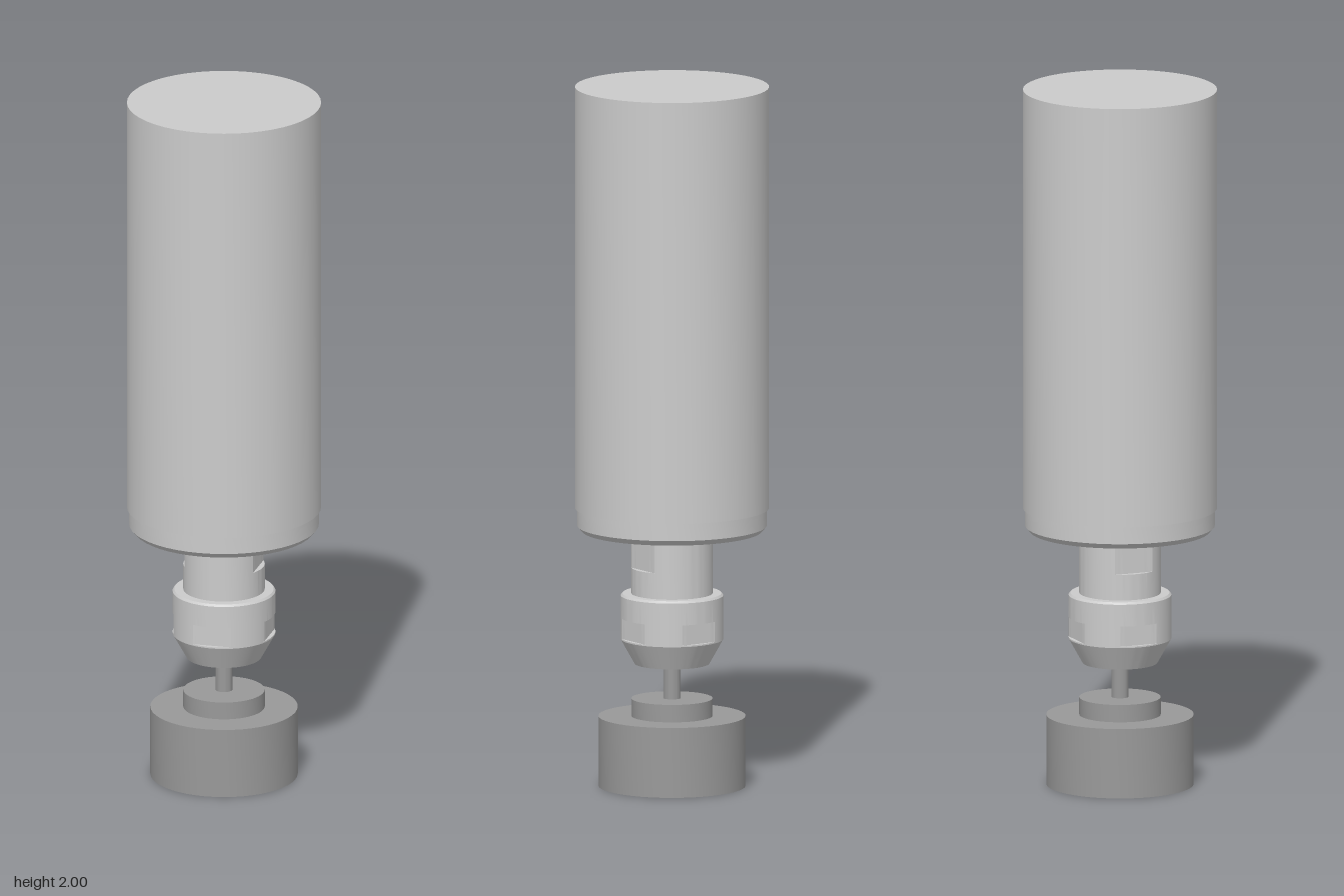
import * as THREE from 'three';
import { toCreasedNormals } from 'three/addons/utils/BufferGeometryUtils.js';

const metal = new THREE.MeshStandardMaterial({ color: 0xcccccc });
const toolGrey = new THREE.MeshStandardMaterial({ color: 0x999999 });

// Revolves [radius, y, flatX, flatZ] rows, listed bottom to top on the outside.
// Rows with flatX / flatZ are cut flat at that distance from the axis.
function turned(name, rows, material, segments = 48) {
  const geo = new THREE.LatheGeometry(rows.map(([r, y]) => new THREE.Vector2(r, y)), segments);
  const pos = geo.attributes.position;
  for (let i = 0; i < pos.count; i++) {
    const [, , fx = 9, fz = 9] = rows[i % rows.length];
    pos.setX(i, THREE.MathUtils.clamp(pos.getX(i), -fx, fx));
    pos.setZ(i, THREE.MathUtils.clamp(pos.getZ(i), -fz, fz));
  }
  const mesh = new THREE.Mesh(toCreasedNormals(geo, 0.3), material);
  mesh.name = name;
  return mesh;
}

export function createModel() {
  const model = new THREE.Group();
  model.name = 'spindleWithCutter';

  // Motor housing with a stepped, chamfered lower rim
  model.add(turned('housing', [
    [0, 0.73], [0.255, 0.73], [0.268, 0.745], [0.268, 0.795],
    [0.274, 0.795], [0.274, 2], [0, 2],
  ], metal));

  // Spindle shaft with two wrench flats
  model.add(turned('shaft', [
    [0, 0.54], [0.115, 0.54], [0.115, 0.625], [0.115, 0.625, 0.1], [0.115, 0.735, 0.1], [0, 0.735],
  ], metal, 96));

  // Collet nut: bored, tapered, with four spanner flats
  const flat = 0.133;
  model.add(turned('colletNut', [
    [0, 0.53], [0.045, 0.53], [0.045, 0.35], [0.106, 0.35], [0.145, 0.42],
    [0.145, 0.424], [0.145, 0.424, flat, flat], [0.145, 0.482, flat, flat], [0.145, 0.482],
    [0.145, 0.545], [0.14, 0.551], [0, 0.551],
  ], metal, 96));

  // Cutter: shank, hub and disc
  const cutter = new THREE.Group();
  cutter.name = 'cutter';
  cutter.add(
    turned('shank', [[0, 0.24], [0.024, 0.24], [0.024, 0.535], [0, 0.535]], toolGrey, 32),
    turned('hub', [[0, 0.19], [0.115, 0.19], [0.115, 0.25], [0, 0.25]], toolGrey),
    turned('disc', [[0, 0], [0.208, 0], [0.208, 0.2], [0, 0.2]], toolGrey),
  );
  model.add(cutter);
  return model;
}
